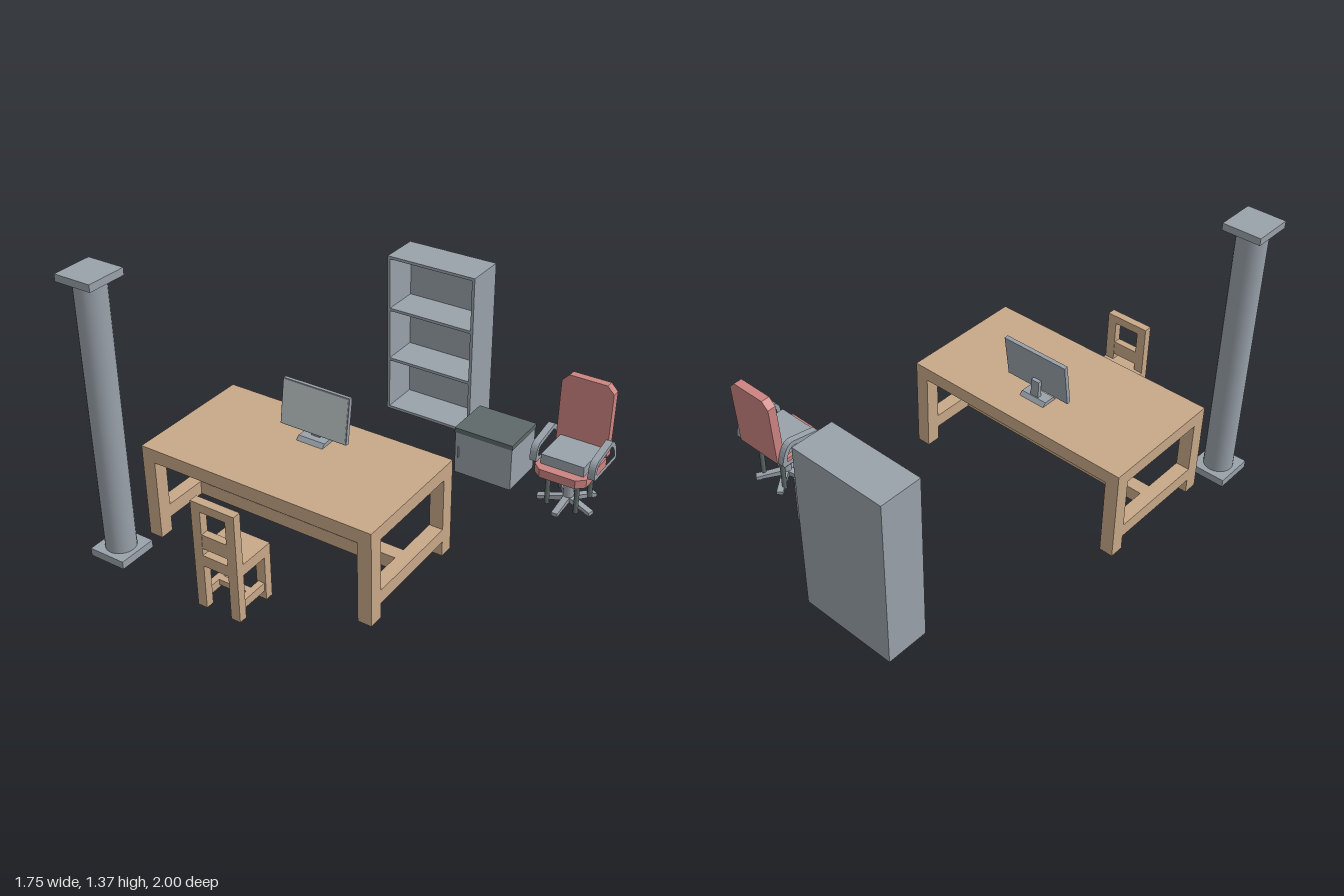
import * as THREE from 'three';

const mat = (name, color) => {
  const m = new THREE.MeshStandardMaterial({ color });
  m.name = name;
  return m;
};

export function createModel() {
  const wood = mat('wood', 0xc8a888);
  const grey = mat('grey', 0x99a1aa);
  const dark = mat('dark grey', 0x5e6969);
  const red = mat('red', 0xcc8481);
  const screenMat = mat('screen', 0xc5cece);

  const model = new THREE.Group();
  model.name = 'office';
  const group = (name, parent = model) => {
    const g = new THREE.Group();
    g.name = name;
    parent.add(g);
    return g;
  };
  const add = (parent, name, geo, material) => {
    const m = new THREE.Mesh(geo, material);
    m.name = name;
    parent.add(m);
    return m;
  };
  // box given by its minimum and maximum on each axis
  const box = (parent, name, material, x0, x1, y0, y1, z0, z1) => {
    const m = add(parent, name, new THREE.BoxGeometry(x1 - x0, y1 - y0, z1 - z0), material);
    m.position.set((x0 + x1) / 2, (y0 + y1) / 2, (z0 + z1) / 2);
    return m;
  };
  const extrude = (points, depth) => new THREE.ExtrudeGeometry(
    new THREE.Shape(points.map(([x, y]) => new THREE.Vector2(x, y))), { depth, bevelEnabled: false });

  // column
  const column = group('column');
  box(column, 'columnBase', grey, -0.876, -0.69, 0, 0.038, 0.803, 0.995);
  box(column, 'columnCapital', grey, -0.876, -0.69, 1.334, 1.368, 0.803, 0.995);
  const shaft = add(column, 'columnShaft', new THREE.CylinderGeometry(0.07, 0.07, 1.3, 24), grey);
  shaft.position.set(-0.784, 0.685, 0.9);

  // desk
  const desk = group('desk');
  box(desk, 'deskTop', wood, -0.77, 0.425, 0.4, 0.467, 0.09, 0.727);
  for (const [x0, x1] of [[-0.77, -0.702], [0.357, 0.425]]) {
    for (const [z0, z1] of [[0.09, 0.16], [0.657, 0.727]]) box(desk, 'deskLeg', wood, x0, x1, 0, 0.4, z0, z1);
    box(desk, 'sideStretcher', wood, x0, x1, 0.075, 0.142, 0.16, 0.657);
  }
  box(desk, 'longStretcher', wood, -0.702, 0.357, 0.075, 0.142, 0.375, 0.442);

  // monitor
  const monitor = group('monitor');
  const foot = add(monitor, 'monitorFoot',
    extrude([[-0.045, 0], [0.045, 0], [0.028, 0.018], [-0.028, 0.018]], 0.138), grey);
  foot.rotation.y = Math.PI / 2;
  foot.position.set(-0.23, 0.467, 0.28);
  box(monitor, 'monitorNeck', grey, -0.182, -0.138, 0.48, 0.57, 0.257, 0.277);
  const panel = group('monitorPanel', monitor);
  panel.position.set(-0.154, 0.62, 0.279);
  panel.rotation.x = -0.155;
  box(panel, 'monitorCase', grey, -0.174, 0.174, -0.109, 0.109, -0.01, 0.01);
  box(panel, 'monitorScreen', screenMat, -0.169, 0.169, -0.104, 0.104, 0.01, 0.012);

  // wooden chair
  const chair = group('woodenChair');
  for (const [x0, x1] of [[-0.265, -0.218], [-0.09, -0.043]]) {
    box(chair, 'backPost', wood, x0, x1, 0, 0.528, 0.958, 0.998);
    box(chair, 'frontLeg', wood, x0, x1, 0, 0.22, 0.78, 0.82);
    box(chair, 'legRail', wood, x0 + 0.008, x1 - 0.008, 0.042, 0.083, 0.82, 0.958);
  }
  box(chair, 'seat', wood, -0.265, -0.043, 0.218, 0.272, 0.78, 0.96);
  box(chair, 'seatBackRail', wood, -0.218, -0.09, 0.218, 0.272, 0.958, 0.998);
  box(chair, 'middleRail', wood, -0.218, -0.09, 0.305, 0.375, 0.96, 0.996);
  box(chair, 'topRail', wood, -0.218, -0.09, 0.487, 0.528, 0.958, 0.998);
  box(chair, 'crossRail', wood, -0.226, -0.082, 0.055, 0.083, 0.872, 0.902);

  // bookcase, open at the front
  const bookcase = group('bookcase');
  box(bookcase, 'bookcaseBack', grey, -0.468, 0.025, 0, 0.87, -1, -0.985);
  for (const x of [-0.468, 0.01]) box(bookcase, 'bookcaseSide', grey, x, x + 0.015, 0, 0.87, -0.985, -0.788);
  for (const y of [0, 0.286, 0.57, 0.855])
    box(bookcase, 'shelf', grey, -0.453, 0.01, y, y + 0.015, -0.985, -0.788);

  // cabinet
  const cabinet = group('cabinet');
  box(cabinet, 'cabinetBody', grey, 0.133, 0.437, 0, 0.225, -0.692, -0.453);
  box(cabinet, 'cabinetTop', dark, 0.13, 0.44, 0.225, 0.25, -0.695, -0.45);
  box(cabinet, 'cabinetHandle', grey, 0.15, 0.156, 0.09, 0.15, -0.453, -0.446);

  // office chair, centred on its own column
  const office = group('officeChair');
  office.position.set(0.708, 0, -0.522);
  const seat = add(office, 'officeSeat', extrude(
    [[-0.13, 0.105], [-0.13, -0.112], [-0.09, -0.148], [0.09, -0.148], [0.13, -0.112], [0.13, 0.105]], 0.043), red);
  seat.rotation.x = -Math.PI / 2;
  seat.position.y = 0.187;
  box(office, 'seatCushion', grey, -0.108, 0.108, 0.225, 0.281, -0.1, 0.1);
  const back = add(office, 'backrest', extrude(
    [[-0.13, 0], [0.13, 0], [0.13, 0.325], [0.095, 0.361], [-0.095, 0.361], [-0.13, 0.325]], 0.044), red);
  back.position.set(0, 0.232, -0.143);
  back.rotation.x = -0.06;

  // loop armrests on both sides
  const outer = new THREE.Shape();
  outer.moveTo(0.13, 0.225);
  outer.lineTo(-0.09, 0.225);
  outer.quadraticCurveTo(-0.104, 0.225, -0.104, 0.25);
  outer.quadraticCurveTo(-0.104, 0.31, -0.065, 0.32);
  outer.lineTo(0.07, 0.343);
  outer.quadraticCurveTo(0.115, 0.342, 0.137, 0.255);
  outer.quadraticCurveTo(0.142, 0.23, 0.13, 0.225);
  const hole = new THREE.Path();
  hole.moveTo(0.108, 0.248);
  hole.lineTo(-0.07, 0.248);
  hole.quadraticCurveTo(-0.082, 0.25, -0.08, 0.265);
  hole.quadraticCurveTo(-0.078, 0.292, -0.058, 0.297);
  hole.lineTo(0.068, 0.319);
  hole.quadraticCurveTo(0.095, 0.315, 0.112, 0.26);
  hole.quadraticCurveTo(0.114, 0.25, 0.108, 0.248);
  outer.holes.push(hole);
  const armGeo = new THREE.ExtrudeGeometry(outer, { depth: 0.034, bevelEnabled: false, curveSegments: 6 });
  for (const x of [-0.163, 0.129]) {
    const arm = add(office, 'armrest', armGeo, grey);
    arm.rotation.y = Math.PI / 2;
    arm.position.x = x;
  }

  // posts under the seat and central column
  for (const x of [-0.074, 0.074]) for (const z of [-0.077, 0.077]) {
    const post = add(office, 'seatPost', new THREE.CylinderGeometry(0.012, 0.012, 0.18, 10), dark);
    post.position.set(x, 0.1, z);
  }
  const lift = add(office, 'centreColumn', new THREE.CylinderGeometry(0.026, 0.026, 0.165, 12), grey);
  lift.position.y = 0.107;

  // five-armed foot
  const spokeGeo = extrude([[0, 0.012], [0.118, 0.004], [0.12, 0], [0.146, 0], [0.146, 0.018], [0.02, 0.038], [0, 0.038]], 0.032);
  spokeGeo.translate(0, 0, -0.016);
  for (let i = 0; i < 5; i++) {
    const spoke = add(office, 'footSpoke', spokeGeo, grey);
    spoke.rotation.y = -Math.PI / 2 + (i * Math.PI * 2) / 5;
  }
  return model;
}
